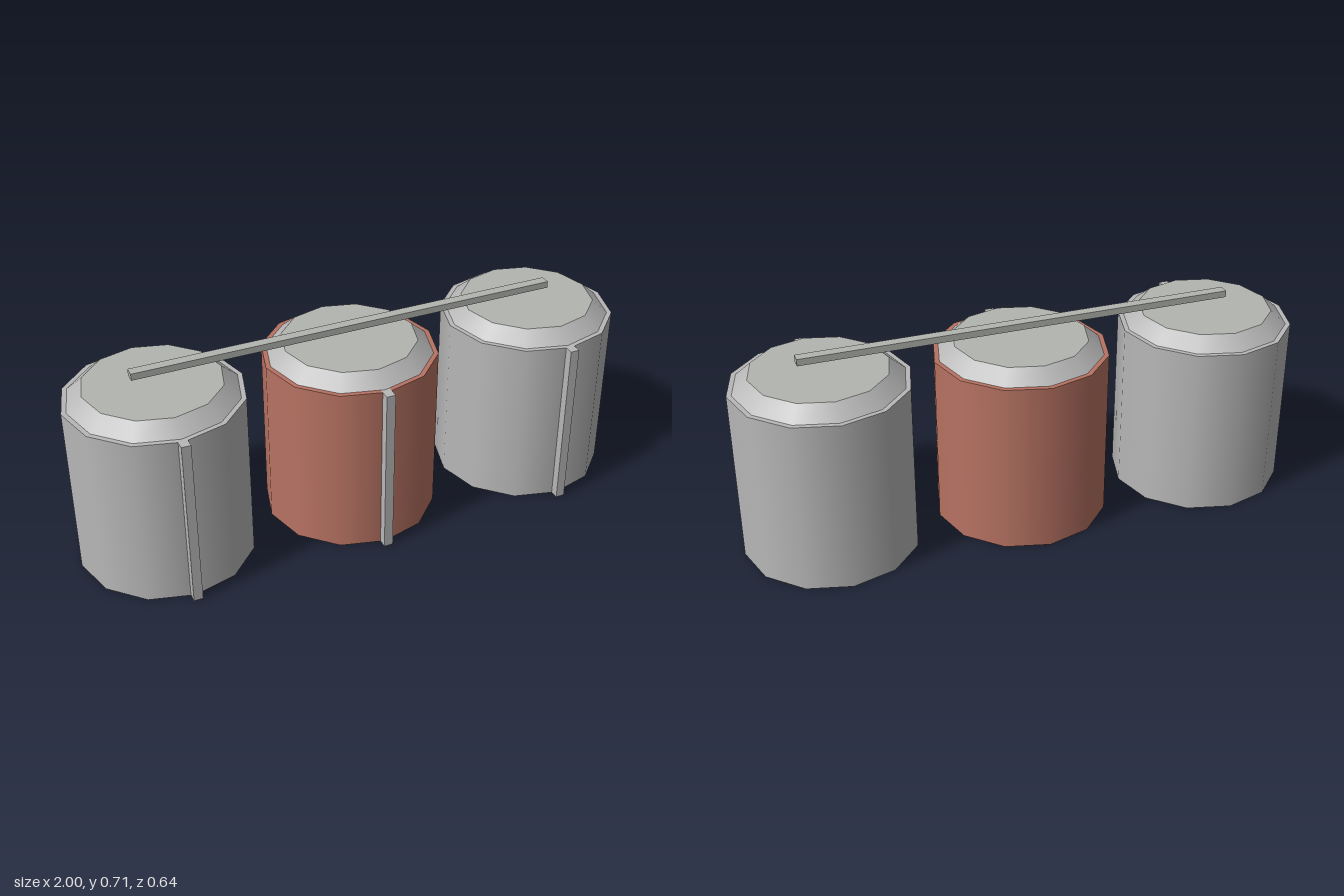
import * as THREE from 'three';

const SIDES = 12, R = 0.305, H = 0.613, Z = -0.012;

export function createModel() {
  const grey = new THREE.MeshStandardMaterial({ name: 'steel grey', color: 0xb8b8b8 });
  const lidGrey = new THREE.MeshStandardMaterial({ name: 'lid grey', color: 0xb3b5b0 });
  const red = new THREE.MeshStandardMaterial({ name: 'brick red', color: 0xb87363 });
  const model = new THREE.Group();
  model.name = 'tankRow';

  const add = (parent, name, geometry, material, x, y, z) => {
    const mesh = new THREE.Mesh(geometry, material);
    mesh.name = name;
    mesh.position.set(x, y, z);
    parent.add(mesh);
  };

  // Three tanks, each with a tapered lid and a front rib
  const bodyGeo = new THREE.CylinderGeometry(R, R, H, SIDES);
  const lidGeo = new THREE.CylinderGeometry(0.234, 0.288, 0.047, SIDES);
  const ribGeo = new THREE.BoxGeometry(0.032, H, 0.06);
  [['rightTank', -0.694, grey], ['middleTank', 0, red], ['leftTank', 0.694, grey]].forEach(([name, x, paint]) => {
    const tank = new THREE.Group();
    tank.name = name;
    tank.position.x = x;
    add(tank, 'body', bodyGeo, paint, 0, H / 2, Z);
    add(tank, 'lid', lidGeo, [grey, lidGrey, grey], 0, H + 0.0235, Z);
    add(tank, 'frontRib', ribGeo, grey, 0, H / 2, 0.29);
    model.add(tank);
  });

  // Long bar floating above the lids
  add(model, 'topBar', new THREE.BoxGeometry(1.534, 0.024, 0.036), lidGrey, 0, 0.702, Z);
  return model;
}
